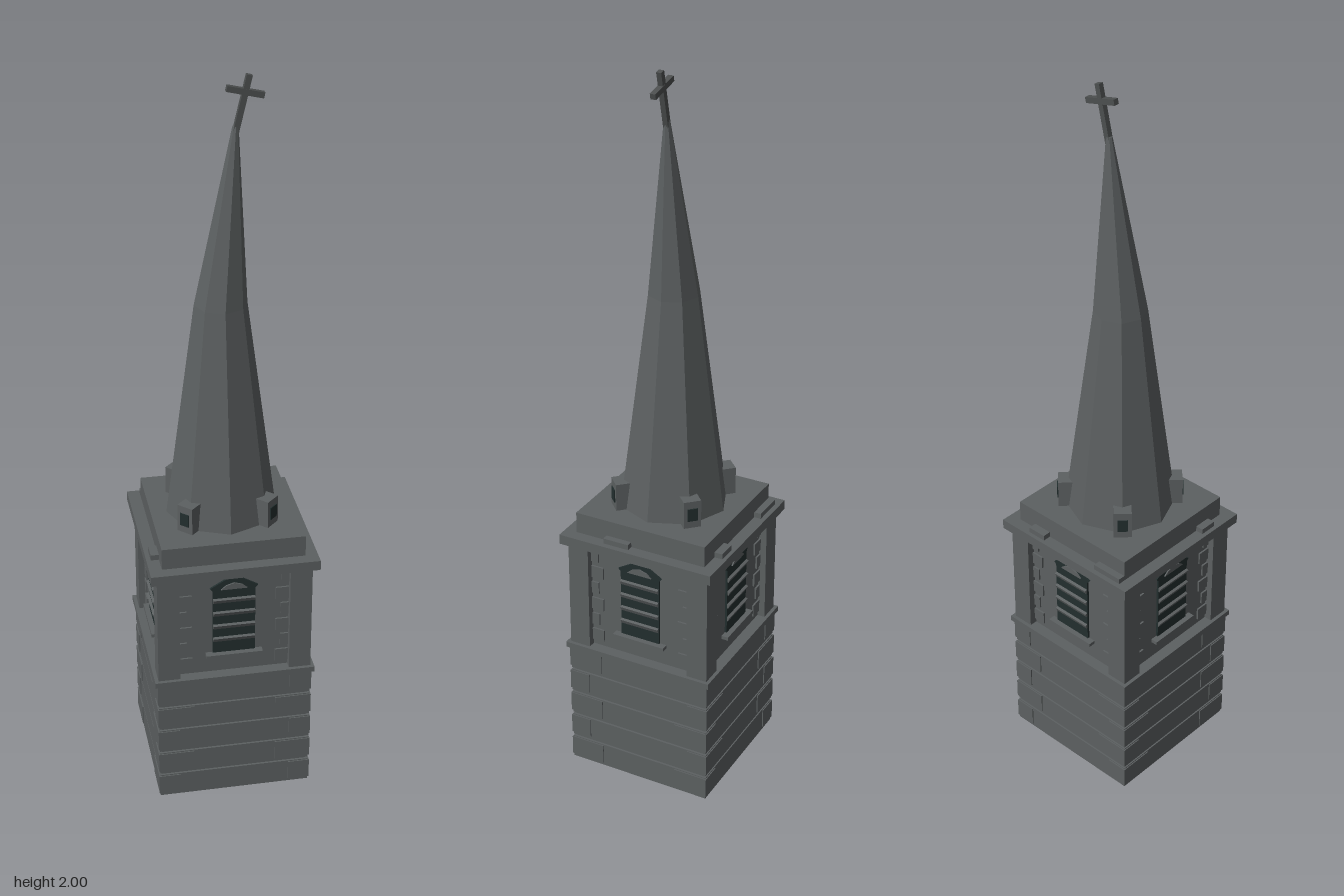
import * as THREE from 'three';

const stone = new THREE.MeshStandardMaterial({ color: 0x5c6061 });
stone.name = 'grey stone';
const dark = new THREE.MeshStandardMaterial({ color: 0x222e2e });
dark.name = 'dark louvre';
const iron = new THREE.MeshStandardMaterial({ color: 0x4c4f4f });
iron.name = 'weathered iron';

function box(parent, name, w, h, d, x, y, z, mat = stone) {
  const m = new THREE.Mesh(new THREE.BoxGeometry(w, h, d), mat);
  m.name = name;
  m.position.set(x, y, z);
  parent.add(m);
  return m;
}

function extruded(parent, name, points, depth, z, mat) {
  const shape = new THREE.Shape(points.map(([x, y]) => new THREE.Vector2(x, y)));
  const m = new THREE.Mesh(new THREE.ExtrudeGeometry(shape, { depth, bevelEnabled: false }), mat);
  m.name = name;
  m.position.z = z;
  parent.add(m);
}

// Louvred window with its surround, facing +z
function createWindow() {
  const g = new THREE.Group();
  const wall = 0.188;
  extruded(g, 'louvreBacking', [[-0.058, 0.455], [0.058, 0.455], [0.058, 0.652],
    [0.065, 0.66], [0, 0.698], [-0.065, 0.66], [-0.058, 0.652]], 0.008, wall - 0.002, dark);
  extruded(g, 'tympanum', [[-0.036, 0.656], [0.036, 0.656], [0.022, 0.668], [0, 0.675], [-0.022, 0.668]],
    0.005, wall + 0.005, stone);
  for (let i = 0; i < 4; i++) {
    const slat = box(g, 'louvreSlat', 0.114, 0.012, 0.008, 0, 0.498 + i * 0.041, wall + 0.007);
    slat.rotation.x = 0.4;
  }
  box(g, 'windowSill', 0.155, 0.01, 0.024, 0, 0.449, wall + 0.008);
  for (const s of [-1, 1]) {
    // Toothed stones beside the window
    for (let i = 0; i < 6; i++) {
      const w = i % 2 ? 0.022 : 0.036;
      box(g, 'toothedStone', w, 0.036, 0.01, s * (0.15 - w / 2), 0.425 + i * 0.05, wall);
    }
  }
  return g;
}

// Small hooded opening at the foot of the spire, facing +z
function createLucarne() {
  const g = new THREE.Group();
  box(g, 'lucarneBody', 0.048, 0.078, 0.058, 0, 0.836, 0.139);
  box(g, 'lucarneOpening', 0.028, 0.036, 0.006, 0, 0.836, 0.168, dark);
  return g;
}

export function createModel() {
  const tower = new THREE.Group();
  tower.name = 'steeple';

  // Coursed lower stage
  const base = new THREE.Group();
  base.name = 'lowerStage';
  tower.add(base);
  box(base, 'baseCore', 0.408, 0.38, 0.408, 0, 0.19, 0);
  for (let i = 0; i < 5; i++) {
    const y = i * 0.076 + 0.035;
    box(base, 'stoneCourse', 0.42, 0.07, 0.42, 0, y, 0);
    // Quoins alternate direction from course to course
    for (const sx of [-1, 1]) for (const sz of [-1, 1]) {
      const w = i % 2 ? 0.1 : 0.06, d = i % 2 ? 0.06 : 0.1;
      box(base, 'quoin', w, 0.058, d, sx * (0.213 - w / 2), y + 0.003, sz * (0.213 - d / 2));
    }
  }
  box(tower, 'beltCourse', 0.44, 0.016, 0.44, 0, 0.383, 0);

  // Belfry walls, corner piers and windows
  box(tower, 'belfryWall', 0.376, 0.33, 0.376, 0, 0.55, 0);
  for (const sx of [-1, 1]) for (const sz of [-1, 1])
    box(tower, 'cornerPier', 0.06, 0.325, 0.06, sx * 0.18, 0.549, sz * 0.18);
  for (let i = 0; i < 4; i++) {
    const win = createWindow();
    win.name = 'belfryWindow';
    win.rotation.y = i * Math.PI / 2;
    tower.add(win);
  }

  // Cornice, loose slabs and parapet
  box(tower, 'cornice', 0.454, 0.028, 0.454, 0, 0.722, 0);
  box(tower, 'parapet', 0.386, 0.062, 0.386, 0, 0.765, 0);
  for (const [w, d, x, z] of [[0.09, 0.03, -0.148, -0.198], [0.055, 0.03, 0.108, -0.201],
    [0.03, 0.075, 0.196, 0.0625], [0.03, 0.048, -0.2, 0.119]])
    box(tower, 'looseSlab', w, 0.016, d, x, 0.743, z);

  // Eight-sided spire, its upper half leaning to one side
  const rings = [[0.15, 0.795, 0], [0.07, 1.4, -0.001], [0.008, 1.87, 0.036]];
  let geo = new THREE.CylinderGeometry(1, 1, 2, 8, 2);
  const p = geo.attributes.position;
  for (let i = 0; i < p.count; i++) {
    const [r, y, lean] = rings[Math.round(p.getY(i)) + 1];
    p.setXYZ(i, p.getX(i) * r + lean, y, p.getZ(i) * r);
  }
  geo = geo.toNonIndexed();
  geo.computeVertexNormals();
  const spire = new THREE.Mesh(geo, stone);
  spire.name = 'spire';
  tower.add(spire);

  for (let i = 0; i < 4; i++) {
    const lucarne = createLucarne();
    lucarne.name = 'lucarne';
    lucarne.rotation.y = Math.PI / 4 + i * Math.PI / 2;
    tower.add(lucarne);
  }

  // Tilted cross
  const cross = new THREE.Group();
  cross.name = 'cross';
  cross.position.set(0.035, 1.85, 0);
  cross.rotation.z = -0.23;
  box(cross, 'crossPost', 0.015, 0.152, 0.014, 0, 0.076, 0, iron);
  box(cross, 'crossBar', 0.096, 0.015, 0.015, 0, 0.109, 0, iron);
  tower.add(cross);

  return tower;
}
